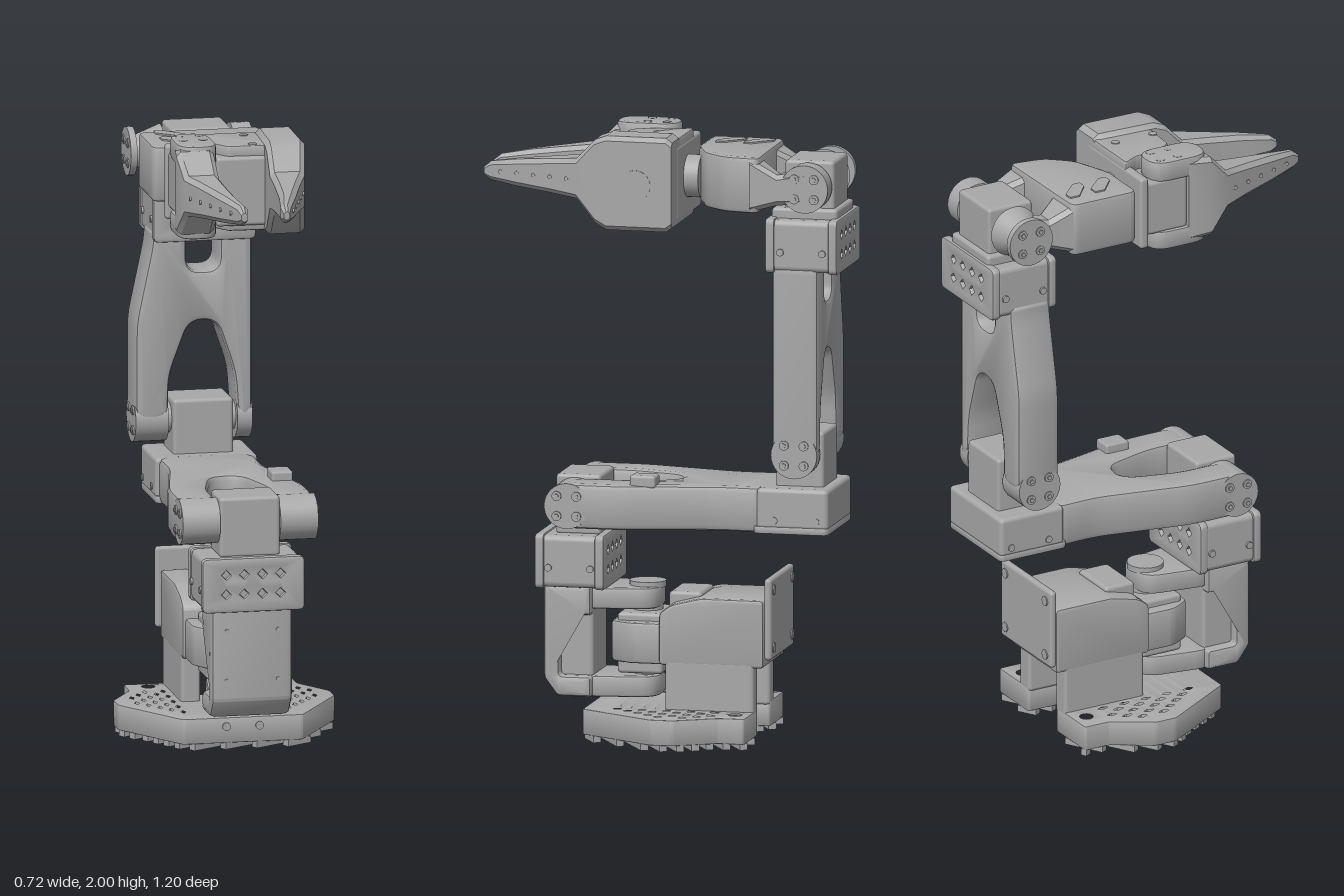
import * as THREE from 'three';
import { toCreasedNormals } from 'three/addons/utils/BufferGeometryUtils.js';
import { RoundedBoxGeometry } from 'three/addons/geometries/RoundedBoxGeometry.js';

const grey = new THREE.MeshStandardMaterial({ color: 0xa8a8a8 });
grey.name = 'printed grey';
let root;

function add(name, geometry) {
  const mesh = new THREE.Mesh(geometry, grey);
  mesh.name = name;
  root.add(mesh);
  return mesh;
}

// Box given by its ranges, with rounded edges
function box(name, [x0, x1], [y0, y1], [z0, z1], r = 0.012) {
  const g = new RoundedBoxGeometry(x1 - x0, y1 - y0, z1 - z0, 2, r);
  add(name, g).position.set((x0 + x1) / 2, (y0 + y1) / 2, (z0 + z1) / 2);
}

// Cylinder along x, y or z
function cyl(name, r, len, axis, x, y, z, r2 = r, sides = 32) {
  const g = new THREE.CylinderGeometry(r2, r, len, sides);
  if (axis === 'x') g.rotateZ(-Math.PI / 2);
  if (axis === 'z') g.rotateX(Math.PI / 2);
  add(name, g).position.set(x, y, z);
}

// Closed outline with rounded corners
function outline(pts, r) {
  const s = new THREE.Shape();
  pts.forEach((p, i) => {
    const a = new THREE.Vector2(...pts[(i + pts.length - 1) % pts.length]);
    const b = new THREE.Vector2(...p);
    const c = new THREE.Vector2(...pts[(i + 1) % pts.length]);
    const p0 = b.clone().lerp(a, Math.min(0.48, r / b.distanceTo(a)));
    const p1 = b.clone().lerp(c, Math.min(0.48, r / b.distanceTo(c)));
    if (i) s.lineTo(p0.x, p0.y); else s.moveTo(p0.x, p0.y);
    s.quadraticCurveTo(b.x, b.y, p1.x, p1.y);
  });
  s.closePath();
  return s;
}

// Extrusion centred on its depth: 'front' uses (x,y), 'top' uses (x,z), 'side' uses (z,y)
function extrude(name, plane, pts, from, to, { r = 0.01, bevel = 0.01, holes = [] } = {}) {
  const shape = outline(pts, r);
  shape.holes.push(...holes);
  const depth = to - from - 2 * bevel;
  const g = new THREE.ExtrudeGeometry(shape, {
    depth, bevelEnabled: bevel > 0, bevelSize: bevel, bevelOffset: -bevel,
    bevelThickness: bevel, bevelSegments: 2, curveSegments: 6,
  });
  g.translate(0, 0, -depth / 2);
  if (plane === 'top') g.rotateX(Math.PI / 2);
  if (plane === 'side') g.rotateY(-Math.PI / 2);
  const mid = (from + to) / 2;
  if (plane === 'front') g.translate(0, 0, mid);
  else if (plane === 'top') g.translate(0, mid, 0);
  else g.translate(mid, 0, 0);
  add(name, toCreasedNormals(g, 0.6));
}

// Chamfered rectangular sections [z, x0, x1, y0, y1] joined along z
function loft(name, sections, c = 0.015) {
  const pos = [], idx = [], n = sections.length;
  for (const [z, x0, x1, y0, y1] of sections) {
    const k = Math.min(c, (x1 - x0) / 3, (y1 - y0) / 3);
    for (const [x, y] of [[x0 + k, y0], [x1 - k, y0], [x1, y0 + k], [x1, y1 - k],
      [x1 - k, y1], [x0 + k, y1], [x0, y1 - k], [x0, y0 + k]]) pos.push(x, y, z);
  }
  for (let s = 0; s < n - 1; s++) for (let i = 0; i < 8; i++) {
    const a = s * 8 + i, b = s * 8 + (i + 1) % 8;
    idx.push(a, b, b + 8, a, b + 8, a + 8);
  }
  const e = (n - 1) * 8;
  for (let i = 1; i < 7; i++) idx.push(0, i + 1, i, e, e + i, e + i + 1);
  const g = new THREE.BufferGeometry();
  g.setAttribute('position', new THREE.Float32BufferAttribute(pos, 3));
  g.setIndex(idx);
  add(name, toCreasedNormals(g, 0.5));
}

function diamond(x, y, w, h) {
  const p = new THREE.Path();
  p.moveTo(x, y - h); p.lineTo(x - w, y); p.lineTo(x, y + h); p.lineTo(x + w, y);
  p.closePath();
  return p;
}

// Two rows of four diamond holes
function diamondRows(y0, y1) {
  return [y0, y1].flatMap(y => [-0.09, -0.03, 0.03, 0.09].map(x => diamond(x, y, 0.015, 0.015)));
}

// Four screws round a pivot, on the face at x
function pivotScrews(x, y, z) {
  for (const dy of [-0.033, 0.033]) for (const dz of [-0.033, 0.033]) {
    cyl('pivotScrew', 0.016, 0.008, 'x', x, y + dy, z + dz, 0.016, 12);
    cyl('pivotScrewHead', 0.008, 0.016, 'x', x, y + dy, z + dz, 0.008, 6);
  }
}

// Motor bracket with perforated faces front and back
function bracketHead(y0, y1, z0, z1) {
  box('bracketCore', [-0.165, 0.165], [y0 + 0.004, y1 - 0.004], [z0 + 0.016, z1 - 0.016], 0.02);
  const o = [[-0.17, y0], [0.17, y0], [0.17, y1], [-0.17, y1]];
  const h = () => diamondRows(y0 + 0.06, y0 + 0.125);
  extrude('bracketFace', 'front', o, z1 - 0.03, z1, { r: 0.02, holes: h(), bevel: 0.006 });
  extrude('bracketFace', 'front', o, z0, z0 + 0.03, { r: 0.02, holes: h(), bevel: 0.006 });
  for (const x of [-0.167, 0.167]) for (const dz of [-0.07, 0.07])
    cyl('bracketScrew', 0.012, 0.01, 'x', x, y0 + 0.07, (z0 + z1) / 2 + dz, 0.012, 12);
}

// Is a ground point inside the foot outline?
function inFoot(x, z) {
  const a = Math.abs(x);
  if (z < -0.317 || z > 0.243 || (a < 0.09 && z < -0.12)) return false;
  if (z > -0.02) return a < 0.36 - (z + 0.02) * 0.615;
  return a < Math.max(0.28, Math.min(0.36, 0.36 + (z + 0.095) * 0.59));
}

function foot() {
  const half = [[0.2, 0.243], [0.36, -0.02], [0.36, -0.095], [0.28, -0.23], [0.28, -0.317], [0.09, -0.317], [0.09, -0.12]];
  const pts = [...half, ...half.map(([x, z]) => [-x, z]).reverse()];
  const holes = [];
  for (const s of [-1, 1]) {
    holes.push(new THREE.Path().absarc(s * 0.207, -0.27, 0.028, 0, Math.PI * 2, true));
    for (let i = 0; i < 6; i++) for (let j = 0; j < 6; j++) {
      const x = 0.175 + i * 0.03, z = -0.19 + j * 0.08 + (i % 2) * 0.04;
      if (inFoot(x + 0.035, z - 0.03) && inFoot(x + 0.035, z + 0.03) && z < 0.17)
        holes.push(diamond(s * x, z, 0.014, 0.027));
    }
  }
  extrude('foot', 'top', pts, 0.02, 0.105, { holes, bevel: 0.005 });
  // Slanted grip ribs under the foot
  const d = [-0.86, 0.5];
  for (let o = -0.45; o < 0.45; o += 0.052) {
    let start = null;
    for (let t = -0.6; t <= 0.6; t += 0.01) {
      const inside = inFoot(d[0] * t + d[1] * o, d[1] * t - d[0] * o);
      if (inside && start === null) start = t;
      if (!inside && start !== null) {
        const m = (start + t) / 2 - 0.005;
        const rib = add('footRib', new THREE.BoxGeometry(Math.max(0.02, t - start - 0.02), 0.022, 0.026));
        rib.position.set(d[0] * m + d[1] * o, 0.011, d[1] * m - d[0] * o);
        rib.rotation.y = Math.atan2(-d[1], d[0]);
        start = null;
      }
    }
  }
  for (const x of [-0.055, 0.055]) cyl('footScrew', 0.014, 0.01, 'z', x, 0.075, 0.243, 0.014, 12);
  // Uprights that carry the turning motor
  for (const s of [-1, 1]) {
    const x = [0.085 * s, 0.15 * s].sort((a, b) => a - b);
    box('footUpright', x, [0.09, 0.27], [-0.317, -0.02]);
  }
}

function turntable() {
  extrude('motorHolder', 'side', [[0.0, 0.25], [0.0, 0.42], [-0.04, 0.45], [-0.14, 0.475], [-0.35, 0.475], [-0.35, 0.25]], -0.15, 0.15, { r: 0.015 });
  extrude('holderNose', 'top', [[-0.14, -0.05], [0.14, -0.05], [0.14, 0.1], [0.1, 0.17], [-0.1, 0.17], [-0.14, 0.1]], 0.25, 0.385, { r: 0.02 });
  box('turningMotor', [-0.1, 0.1], [0.21, 0.41], [0.0, 0.15]);
  cyl('turningShaft', 0.05, 0.3, 'y', 0, 0.31, 0.07);
  box('holderCap', [-0.09, 0.09], [0.42, 0.485], [-0.13, -0.02]);
  box('rearPlate', [-0.165, 0.165], [0.28, 0.55], [-0.38, -0.355], 0.012);
  for (const x of [-0.13, 0.13]) for (const y of [0.32, 0.51])
    cyl('rearPlateScrew', 0.017, 0.008, 'z', x, y, -0.38, 0.017, 12);
  box('rearPlateMount', [-0.1, 0.1], [0.3, 0.46], [-0.36, -0.34]);
  // Clamp-shaped column
  extrude('columnFront', 'side', [[0.39, 0.5], [0.39, 0.19], [0.345, 0.13], [0.23, 0.13], [0.23, 0.2], [0.335, 0.2], [0.335, 0.4], [0.23, 0.4], [0.23, 0.5]], -0.135, 0.135, { r: 0.012, bevel: 0.02 });
  box('columnCore', [-0.1, 0.1], [0.19, 0.42], [0.23, 0.36]);
  const arm = [[-0.12, 0.26], [-0.08, 0.02], [0.08, 0.02], [0.12, 0.26]];
  extrude('lowerClamp', 'top', arm, 0.13, 0.2, { r: 0.06 });
  extrude('upperClamp', 'top', arm, 0.42, 0.49, { r: 0.06 });
  cyl('upperClampBoss', 0.06, 0.02, 'y', 0, 0.495, 0.07);
  for (const x of [-0.085, 0.085]) for (const y of [0.26, 0.425])
    cyl('columnScrew', 0.007, 0.008, 'z', x, y, 0.39, 0.007, 8);
  bracketHead(0.49, 0.67, 0.18, 0.41);
}

function shoulderArm() {
  box('shoulderMotor', [-0.1, 0.1], [0.66, 0.86], [0.205, 0.355]);
  cyl('shoulderHorn', 0.05, 0.26, 'x', 0, 0.78, 0.295);
  const half = [[0.1, 0.3], [0.1, 0.14], [0.05, -0.04]];
  const outer = [[0.16, -0.36], [0.155, -0.2], [0.225, 0.12], [0.225, 0.3]];
  const side = [...outer, ...half];
  const pts = [...side, ...side.map(([x, z]) => [-x, z]).reverse()];
  extrude('shoulderArm', 'top', pts, 0.7, 0.85, { r: 0.05, bevel: 0.02 });
  for (const s of [-1, 1]) {
    cyl('shoulderJoint', 0.075, 0.125, 'x', s * 0.1625, 0.775, 0.29);
    pivotScrews(s * 0.226, 0.775, 0.29);
    for (const z of [-0.39, -0.53]) cyl('armScrew', 0.012, 0.008, 'x', s * 0.17, 0.745, z, 0.012, 12);
  }
  // Rear end with a perforated underside
  box('elbowMount', [-0.17, 0.17], [0.715, 0.85], [-0.57, -0.33], 0.015);
  extrude('elbowMountBase', 'top', [[-0.17, -0.57], [0.17, -0.57], [0.17, -0.32], [-0.17, -0.32]], 0.7, 0.725,
    { r: 0.02, bevel: 0.005, holes: diamondRows(-0.49, -0.41) });
  box('cableClip', [0.13, 0.2], [0.84, 0.88], [0.0, 0.085], 0.008);
}

function forearm() {
  const y = 0.96, z = -0.455;
  box('elbowMotor', [-0.1, 0.1], [0.83, 1.03], [-0.54, -0.38]);
  cyl('elbowHorn', 0.05, 0.25, 'x', 0, y, z);
  extrude('forearm', 'front', [[-0.17, 1.6], [-0.17, 1.55], [-0.225, 1.29], [-0.225, y], [-0.115, y], [-0.112, 1.11], [-0.045, 1.29],
    [0.045, 1.29], [0.105, 1.11], [0.115, y], [0.163, y], [0.163, 1.6], [0.055, 1.6], [0.055, 1.455], [-0.055, 1.455], [-0.055, 1.6]],
  -0.535, -0.38, { r: 0.045, bevel: 0.02 });
  cyl('elbowJoint', 0.077, 0.11, 'x', -0.17, y, z);
  cyl('elbowJoint', 0.077, 0.05, 'x', 0.138, y, z);
  pivotScrews(-0.226, y, z);
  pivotScrews(0.164, y, z);
  bracketHead(1.56, 1.74, -0.6, -0.36);
}

function wrist() {
  const y = 1.842, z = -0.492;
  box('wristMotor', [-0.1, 0.1], [1.72, 1.925], [-0.575, -0.41]);
  box('wristMotorFrame', [-0.12, 0.12], [1.72, 1.77], [-0.59, -0.37]);
  cyl('wristHorn', 0.045, 0.25, 'x', 0, y, z);
  extrude('wristBody', 'top', [[-0.23, -0.335], [-0.23, -0.09], [-0.04, -0.09], [0.09, -0.14], [0.16, -0.22], [0.18, -0.34]],
    1.755, 1.94, { r: 0.03, bevel: 0.015 });
  loft('wristArmLeft', [[z, 0.112, 0.175, 1.79, 1.9], [-0.4, 0.112, 0.18, 1.785, 1.885], [-0.31, 0.06, 0.18, 1.76, 1.935]]);
  loft('wristArmRight', [[z, -0.19, -0.12, 1.79, 1.9], [-0.4, -0.2, -0.12, 1.785, 1.885], [-0.31, -0.228, -0.08, 1.76, 1.935]]);
  cyl('wristJoint', 0.079, 0.064, 'x', 0.143, y, z);
  cyl('wristJoint', 0.05, 0.09, 'x', -0.165, y, z, 0.085);
  cyl('wristWheel', 0.08, 0.022, 'x', -0.223, y, z);
  pivotScrews(0.176, y, z);
  pivotScrews(-0.234, y, z);
  // Slanted marks on the lid
  for (const d of [0, 0.095]) extrude('lidMark', 'top', [[-0.18, -0.315 + d], [-0.15, -0.315 + d], [-0.09, -0.255 + d], [-0.09, -0.228 + d], [-0.12, -0.228 + d], [-0.18, -0.28 + d]],
    1.938, 1.945, { r: 0.002, bevel: 0 });
  cyl('rollShaft', 0.07, 0.08, 'z', -0.01, y, -0.07);
}

function gripper() {
  box('gripperBack', [-0.2, 0.15], [1.71, 1.96], [-0.062, -0.03]);
  box('gripperMotor', [-0.19, 0.1], [1.75, 1.935], [-0.04, 0.12]);
  box('gripperMotorFront', [-0.07, 0.1], [1.72, 1.95], [0.0, 0.16]);
  const cover = [[-0.1, -0.06], [0.14, -0.06], [0.14, 0.15], [-0.03, 0.14], [-0.07, 0.08], [-0.07, 0.0]];
  const cap = [[-0.2, 0.2], [-0.2, -0.01], [-0.07, -0.01], [-0.07, 0.2]];
  for (const [a, b] of [[1.93, 1.985], [1.7, 1.755]]) extrude('gripperCover', 'top', cover, a, b, { r: 0.012 });
  for (const [a, b] of [[1.93, 2.0], [1.69, 1.755]]) extrude('movingJawCap', 'top', cap, a, b, { r: 0.065 });
  for (const x of [-0.168, -0.102]) for (const z of [0.03, 0.095])
    cyl('capScrew', 0.015, 0.006, 'y', x, 1.998, z, 0.015, 12);
  for (const z of [-0.01, 0.13]) cyl('coverScrew', 0.014, 0.006, 'y', 0.055, 1.985, z, 0.014, 12);
  // Matching fingers; the fixed one carries the side housing
  const finger = [[0.2, 0.088, 0.213, 1.71, 1.985], [0.265, 0.085, 0.2, 1.785, 1.918], [0.36, 0.08, 0.165, 1.795, 1.908],
    [0.48, 0.07, 0.125, 1.805, 1.895], [0.575, 0.055, 0.09, 1.818, 1.88], [0.6, 0.06, 0.08, 1.832, 1.86]];
  loft('fixedJaw', [[-0.06, 0.1, 0.226, 1.705, 1.985], [-0.04, 0.1, 0.226, 1.69, 2.0], [0.16, 0.09, 0.222, 1.69, 2.0], ...finger]);
  loft('movingJaw', [[0.12, 0.075, 0.2, 1.7, 1.99], ...finger].map(([z, a, b, y0, y1]) => [z, -b, -a, y0, y1]));
  cyl('jawPort', 0.05, 0.006, 'x', 0.224, 1.842, 0.06);
  for (const s of [-1, 1]) for (let i = 0; i < 5; i++) {
    const z = 0.3 + i * 0.06;
    cyl('fingerPin', 0.007, 0.006, 'x', s * (0.188 - (z - 0.3) * 0.35), 1.85, z, 0.007, 8);
  }
}

export function createModel() {
  root = new THREE.Group();
  root.name = 'robotArm';
  foot();
  turntable();
  shoulderArm();
  forearm();
  wrist();
  gripper();
  return root;
}
